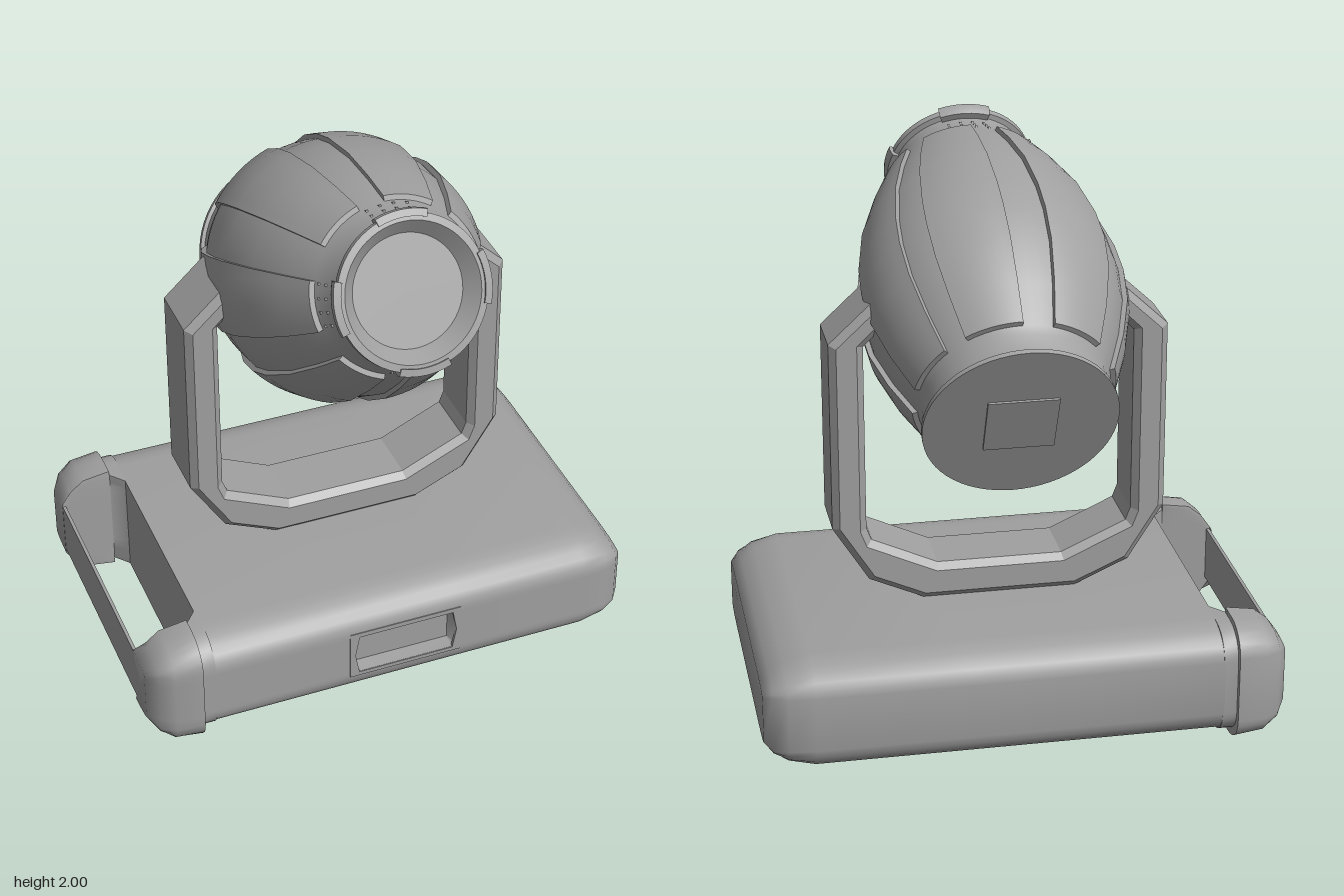
import * as THREE from 'three';
import { toCreasedNormals } from 'three/addons/utils/BufferGeometryUtils.js';

const V = (x, y) => new THREE.Vector2(x, y);
const grey = new THREE.MeshStandardMaterial({ color: 0xa0a0a0 });
const greyBoth = new THREE.MeshStandardMaterial({ color: 0xa0a0a0, side: THREE.DoubleSide });

function part(name, geometry, parent, material = grey) {
  const mesh = new THREE.Mesh(geometry, material);
  mesh.name = name;
  parent.add(mesh);
  return mesh;
}

// Skin a list of equal-length cross-sections [z, y] placed along x, with closed ends
function loft(stations) {
  const pos = [], idx = [], n = stations[0].pts.length;
  for (const s of stations) for (const [z, y] of s.pts) pos.push(s.x, y, z);
  for (let i = 0; i < stations.length - 1; i++) {
    for (let j = 0; j < n; j++) {
      const a = i * n + j, b = i * n + (j + 1) % n;
      idx.push(a, b, a + n, b, b + n, a + n);
    }
  }
  [0, stations.length - 1].forEach((i) => {
    const { x, pts } = stations[i];
    const c = pos.length / 3;
    let cz = 0, cy = 0;
    pts.forEach(([z, y]) => { cz += z / n; cy += y / n; });
    pos.push(x, cy, cz);
    for (let j = 0; j < n; j++) {
      const a = i * n + j, b = i * n + (j + 1) % n;
      if (i === 0) idx.push(c, b, a); else idx.push(c, a, b);
    }
  });
  const g = new THREE.BufferGeometry();
  g.setAttribute('position', new THREE.Float32BufferAttribute(pos, 3));
  g.setIndex(idx);
  return toCreasedNormals(g, 1.05);
}

// Rounded cross-section; r0 and r1 are the z radii at the back and front, dent sinks the front face
function section(z0, z1, y0, y1, r0, r1, ry, dent = 0) {
  const pts = [];
  const corner = (cz, cy, rz, start) => {
    for (let k = 0; k <= 6; k++) {
      const t = start + (k / 6) * Math.PI / 2;
      pts.push([cz + rz * Math.cos(t), cy + ry * Math.sin(t)]);
    }
  };
  corner(z1 - r1, y0 + ry, r1, -Math.PI / 2);
  pts.push([z1, 0.141], [z1 - dent, 0.15], [z1 - dent, 0.29], [z1, 0.3]);
  corner(z1 - r1, y1 - ry, r1, 0);
  corner(z0 + r0, y1 - ry, r0, Math.PI / 2);
  corner(z0 + r0, y0 + ry, r0, Math.PI);
  return pts.reverse();
}

function buildBase(root) {
  const base = new THREE.Group();
  base.name = 'base';
  root.add(base);

  // Main housing with a sunken display bay: x, y inset, z inset, dent
  const body = [
    [-0.675, 0, 0, 0], [-0.155, 0, 0, 0], [-0.14, 0, 0, 0.05], [0.215, 0, 0, 0.05], [0.23, 0, 0, 0],
    [0.73, 0, 0, 0], [0.82, 0.025, 0.01, 0], [0.87, 0.058, 0.035, 0], [0.9, 0.095, 0.075, 0],
  ].map(([x, sy, sz, d]) => ({
    x, pts: section(-0.7 + sz, 0.53 - sz, 0.025 + sy, 0.42 - sy, 0.15, 0.15, Math.max(0.02, 0.1 - sy), d),
  }));
  part('baseHousing', loft(body), base);
  const bezel = new THREE.Shape([V(-0.175, 0.125), V(0.245, 0.125), V(0.245, 0.32), V(-0.175, 0.32)]);
  bezel.holes.push(new THREE.Path([
    V(-0.14, 0.14), V(-0.155, 0.22), V(-0.14, 0.302), V(0.215, 0.302), V(0.23, 0.22), V(0.215, 0.14),
  ]));
  part('displayBezel', new THREE.ExtrudeGeometry(bezel, { depth: 0.012, bevelEnabled: false }), base)
    .position.z = 0.521;

  // Two corner caps either side of the handle opening: x, y inset, z inset, inner edge, overhang
  const capRows = [
    [-0.905, 0.105, 0.09, 0.44, 0.018], [-0.87, 0.055, 0.035, 0.44, 0.018], [-0.82, 0.015, 0.005, 0.44, 0.018],
    [-0.72, 0, 0, 0.44, 0.018], [-0.719, 0, 0, 0.44, 0], [-0.67, 0, 0, 0.38, 0],
  ];
  for (const side of [1, -1]) {
    const rows = capRows.map(([x, sy, sz, inner, o]) => {
      const ry = Math.max(0.02, 0.1 - sy);
      const zOut = -0.085 + side * (0.615 + o - sz), zIn = -0.07 + side * inner;
      const y0 = 0.025 + sy - o * 1.3, y1 = 0.42 - sy + o;
      const pts = side > 0
        ? section(zIn, zOut, y0, y1, 0.002, 0.12, ry)
        : section(zOut, zIn, y0, y1, 0.12, 0.002, ry);
      return { x, pts };
    });
    part(side > 0 ? 'frontCornerCap' : 'rearCornerCap', loft(rows), base);
  }
  // Thin grip strip across the opening
  part('handleStrip', new THREE.BoxGeometry(0.012, 0.2, 0.92), base).position.set(-0.898, 0.225, -0.07);
}

function buildYoke(root) {
  // Right half of the outer then inner outline, mirrored into one U shape
  const outer = [[0.27, 0.42], [0.46, 0.505], [0.585, 0.705], [0.585, 1.38], [0.44, 1.515]];
  const inner = [[0.38, 1.45], [0.467, 1.365], [0.467, 0.7], [0.45, 0.655], [0.22, 0.55]];
  const half = [...outer, ...inner];
  const all = [...half, ...half.map(([x, y]) => [-x, y]).reverse()];
  const bevel = 0.024;
  const g = new THREE.ExtrudeGeometry(new THREE.Shape(all.map(([x, y]) => V(x, y))), {
    depth: 0.255 - 2 * bevel, bevelEnabled: true, bevelSize: bevel, bevelThickness: bevel,
    bevelOffset: -bevel, bevelSegments: 1,
  });
  part('yoke', g, root).position.set(0.014, 0, -0.222 + bevel);
}

function buildHead(root) {
  // Local y is the optical axis, local -z is the top
  const head = new THREE.Group();
  head.name = 'head';
  head.position.set(0.015, 1.205, -0.577);
  head.rotation.x = 1.13;
  root.add(head);

  // Barrel shell with rear collar and a recessed lens ring
  const shell = [
    V(0.325, 0.128), V(0.385, 0.27), V(0.43, 0.42), V(0.444, 0.56), V(0.437, 0.68),
    V(0.4, 0.86), V(0.34, 1.02), V(0.283, 1.142),
  ];
  const profile = [
    V(0, 0), V(0.329, 0), V(0.329, 0.018), V(0.316, 0.022), V(0.314, 0.1), ...shell, V(0.243, 1.22),
    V(0.24, 1.255), V(0.257, 1.262), V(0.257, 1.285), V(0.232, 1.288), V(0.188, 1.235), V(0, 1.235),
  ];
  part('barrel', toCreasedNormals(new THREE.LatheGeometry(profile, 64), 0.5), head);

  // Seven raised shell panels, at angles measured from the top
  const outline = [
    ...shell.map((p) => V(p.x + 0.018, p.y)),
    ...shell.map((p) => V(p.x - 0.012, p.y)).reverse(),
  ];
  const span = THREE.MathUtils.degToRad(33);
  const skin = toCreasedNormals(
    new THREE.LatheGeometry([...outline, outline[0].clone()], 8, 0, span), 0.5);
  const edge = new THREE.ShapeGeometry(new THREE.Shape(outline));
  [0, 47, 99, 148, 198, 253, 309].forEach((start, k) => {
    const panel = new THREE.Group();
    panel.name = 'shellPanel' + (k + 1);
    panel.rotation.y = Math.PI - span - THREE.MathUtils.degToRad(start);
    head.add(panel);
    part('panelSkin', skin, panel);
    for (const a of [0, span]) part('panelEdge', edge, panel, greyBoth).rotation.y = a - Math.PI / 2;
  });

  // Lens clips and vent dots at four sides of the nose
  const clipProfile = [V(0.24, 1.245), V(0.264, 1.245), V(0.272, 1.27), V(0.27, 1.288), V(0.245, 1.292)];
  const clipSpan = 0.68;
  const clipSkin = toCreasedNormals(
    new THREE.LatheGeometry([...clipProfile, clipProfile[0].clone()], 8, -clipSpan / 2, clipSpan), 0.5);
  const clipEnd = new THREE.ShapeGeometry(new THREE.Shape(clipProfile));
  const dot = new THREE.BoxGeometry(0.008, 0.014, 0.008);
  for (let k = 0; k < 4; k++) {
    const clip = new THREE.Group();
    clip.name = 'lensClip' + (k + 1);
    clip.rotation.y = k * Math.PI / 2;
    head.add(clip);
    part('clipBody', clipSkin, clip);
    for (const s of [-1, 1]) {
      part('clipEnd', clipEnd, clip, greyBoth).rotation.y = s * clipSpan / 2 - Math.PI / 2;
    }
    for (let i = 0; i < 4; i++) {
      for (let j = 0; j < 3; j++) {
        const t = (i - 1.5) * 0.17, y = 1.155 + j * 0.028;
        const r = 0.277 - (y - 1.15) * 0.5;
        const d = part('ventDot', dot, clip);
        d.position.set(r * Math.sin(t), y, r * Math.cos(t));
        d.rotation.y = t;
      }
    }
  }

  // Rear service plate
  part('rearPlate', new THREE.BoxGeometry(0.24, 0.012, 0.22), head).position.y = -0.002;
}

export function createModel() {
  const root = new THREE.Group();
  root.name = 'movingHeadStageLight';
  buildBase(root);
  buildYoke(root);
  buildHead(root);
  return root;
}
